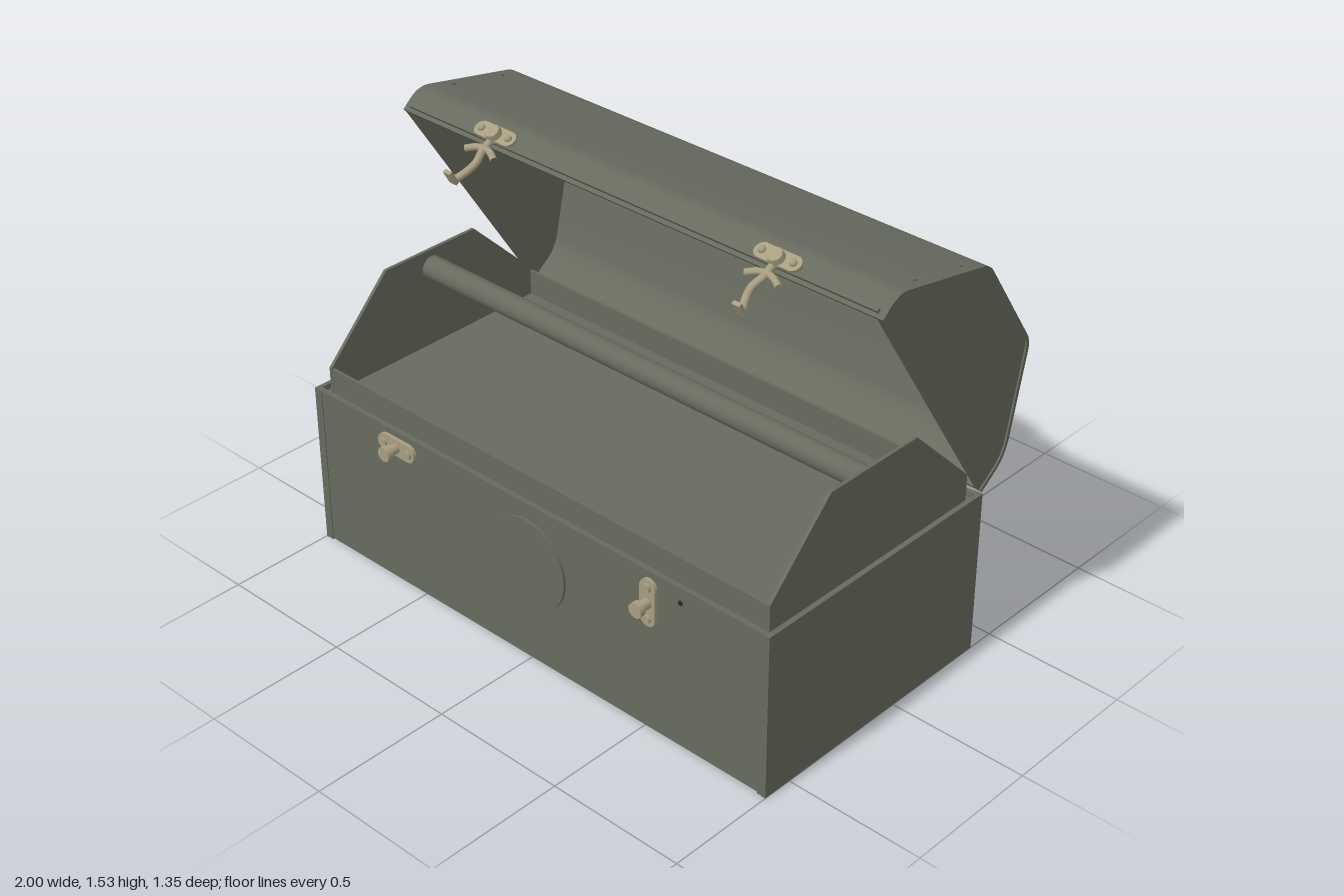
import * as THREE from 'three';
import { toCreasedNormals } from 'three/addons/utils/BufferGeometryUtils.js';

const V = (x, y, z) => new THREE.Vector3(x, y, z);

export function createModel() {
  const root = new THREE.Group();
  const green = new THREE.MeshStandardMaterial({ color: 0x676b5e, name: 'olive paint' });
  const red = new THREE.MeshStandardMaterial({ color: 0xb83a32, name: 'red grip' });
  const brass = new THREE.MeshStandardMaterial({ color: 0xa79d80, name: 'dull brass' });
  const dark = new THREE.MeshStandardMaterial({ color: 0x2c2d28, name: 'dark holes' });

  const add = (parent, name, geo, mat, x = 0, y = 0, z = 0) => {
    const m = new THREE.Mesh(geo, mat);
    m.name = name;
    m.position.set(x, y, z);
    parent.add(m);
    return m;
  };
  const group = (name, parent = root) => {
    const g = new THREE.Group();
    g.name = name;
    parent.add(g);
    return g;
  };
  // box given by its min and max corners
  const box = (parent, name, mat, x0, x1, y0, y1, z0, z1) =>
    add(parent, name, new THREE.BoxGeometry(x1 - x0, y1 - y0, z1 - z0), mat,
      (x0 + x1) / 2, (y0 + y1) / 2, (z0 + z1) / 2);
  // [z, y] outline extruded along x from x0 to x1
  const extrudeX = (pts, x0, x1) => {
    const shape = new THREE.Shape(pts.map(p => new THREE.Vector2(p[0], p[1])));
    const g = new THREE.ExtrudeGeometry(shape, { depth: x1 - x0, bevelEnabled: false });
    return toCreasedNormals(g.rotateY(-Math.PI / 2).translate(x1, 0, 0), 0.5);
  };
  const cylX = (r, len, seg = 24) => new THREE.CylinderGeometry(r, r, len, seg).rotateZ(Math.PI / 2);
  const cylZ = (r, len, seg = 24) => new THREE.CylinderGeometry(r, r, len, seg).rotateX(Math.PI / 2);
  const tube = (pts, r, n = 32) =>
    new THREE.TubeGeometry(new THREE.CatmullRomCurve3(pts), n, r, 8);

  // Lower box: four walls, raised floor, seams at the front and back corners
  const body = group('lowerBox');
  box(body, 'frontWall', green, -0.985, 0.985, 0.005, 0.6, 0.59, 0.607);
  box(body, 'backWall', green, -0.985, 0.985, 0.005, 0.6, -0.395, -0.38);
  box(body, 'bottom', green, -0.985, 0.985, 0.008, 0.022, -0.385, 0.595);
  for (const s of [-1, 1]) {
    add(body, 'sideWall', new THREE.BoxGeometry(0.016, 0.6, 1.01), green, s * 0.992, 0.3, 0.105);
    for (const z of [0.6, -0.39])
      add(body, 'cornerFlange', new THREE.BoxGeometry(0.03, 0.598, 0.02), green, s * 0.983, 0.3, z);
  }

  // Tray with shaped end plates, low walls and a carrying bar
  const tray = group('tray');
  const endOutline = [[-0.36, 0.57], [0.57, 0.57], [0.57, 0.675], [0.31, 0.94], [-0.09, 0.94], [-0.36, 0.675]];
  for (const x of [-0.965, 0.953]) add(tray, 'trayEnd', extrudeX(endOutline, x, x + 0.012), green);
  box(tray, 'trayFront', green, -0.955, 0.955, 0.57, 0.672, 0.558, 0.569);
  box(tray, 'trayBack', green, -0.955, 0.955, 0.57, 0.672, -0.359, -0.348);
  box(tray, 'trayFloor', green, -0.985, 0.985, 0.57, 0.58, -0.385, 0.595);
  add(tray, 'carryBar', cylX(0.041, 1.91, 32), green, 0, 0.874, 0.11);

  // Lid: rounded bent sheet, [z, y, bend size]
  const bends = [[0.155, 1.46, 0], [0.087, 1.521, 0.05], [-0.347, 1.437, 0.035],
    [-0.59, 1.075, 0.035], [-0.505, 0.69, 0.06], [-0.395, 0.61, 0]];
  const path = [];
  bends.forEach(([z, y, r], i) => {
    const p = new THREE.Vector2(z, y);
    if (!r) return path.push(p);
    const [a, b] = [bends[i - 1], bends[i + 1]].map(q =>
      p.clone().add(new THREE.Vector2(q[0] - z, q[1] - y).setLength(r)));
    path.push(...new THREE.QuadraticBezierCurve(a, p, b).getPoints(6));
  });
  // shift the sheet line inwards by d
  const inset = d => path.map((p, i) => {
    const t = path[Math.min(i + 1, path.length - 1)].clone().sub(path[Math.max(i - 1, 0)]).normalize();
    return [p.x - t.y * d, p.y + t.x * d];
  });
  const lid = group('lid');
  add(lid, 'lidShell', extrudeX([...inset(0), ...inset(0.013).reverse()], -1, 1), green);
  for (const x of [-0.994, 0.974]) add(lid, 'lidEnd', extrudeX(inset(0.006), x, x + 0.02), green);
  const lip = add(lid, 'lidLip', new THREE.BoxGeometry(1.95, 0.05, 0.012), green, 0, 1.462, 0.133);
  lip.rotation.x = 0.58;
  for (const s of [-1, 1]) for (const z of [-0.03, -0.25])
    add(lid, 'lidRivet', new THREE.CylinderGeometry(0.008, 0.008, 0.008, 10), green,
      s * 0.96, 1.502 + 0.194 * (z + 0.03), z);

  // Lid latches: base plate, pivot boss, side horns and a hooked arm
  for (const s of [-1, 1]) {
    const latch = group('lidLatch');
    latch.position.set(s * 0.59, 1.497, 0.13);
    latch.rotation.x = 0.53;
    add(latch, 'latchPlate', new THREE.BoxGeometry(0.13, 0.014, 0.055), brass);
    for (const e of [-1, 1]) {
      add(latch, 'plateEnd', new THREE.CylinderGeometry(0.0275, 0.0275, 0.014, 20), brass, e * 0.06, 0, 0);
      add(latch, 'latchRivet', new THREE.SphereGeometry(0.013, 12, 8), brass, e * 0.06, 0.008, 0);
    }
    add(latch, 'latchBoss', new THREE.CylinderGeometry(0.025, 0.03, 0.03, 20), brass, 0, 0.012, 0.005);
    add(latch, 'latchHorns', tube([V(-0.065, 0, 0.085), V(-0.03, 0, 0.065), V(0, 0, 0.06),
      V(0.03, 0, 0.065), V(0.065, 0, 0.085)], 0.012), brass);
    add(latch, 'latchArm', tube([V(0, 0, 0.02), V(0, 0, 0.07), V(-s * 0.012, 0, 0.12),
      V(0, 0, 0.17), V(s * 0.015, 0, 0.2)], 0.013), brass);
    add(latch, 'latchTip', new THREE.BoxGeometry(0.03, 0.055, 0.014), brass, s * 0.015, 0.018, 0.203);
  }

  // Front hasps: rounded plate with two rivets and a staple
  const hasp = (x, y, angle) => {
    const h = group('frontHasp');
    h.position.set(x, y, 0.607);
    h.rotation.z = angle;
    add(h, 'haspPlate', new THREE.BoxGeometry(0.11, 0.064, 0.014), brass, 0, 0, 0.006);
    for (const e of [-1, 1]) {
      add(h, 'haspEnd', cylZ(0.032, 0.014), brass, e * 0.054, 0, 0.006);
      add(h, 'haspRivet', cylZ(0.016, 0.012), brass, e * 0.058, 0, 0.016);
    }
    add(h, 'stapleNeck', cylZ(0.018, 0.05), brass, 0, 0, 0.03);
    add(h, 'stapleHead', cylZ(0.026, 0.022), brass, 0, 0, 0.056);
  };
  hasp(-0.593, 0.546, 0);
  hasp(0.525, 0.49, Math.PI / 2);

  // Round front plate and small hole
  add(root, 'frontDisc', cylZ(0.166, 0.009, 64), green, 0, 0.375, 0.6115);
  add(root, 'smallHole', cylZ(0.009, 0.004, 12), dark, 0.65, 0.546, 0.608);

  // Carrying handle on the lid: turned grip, bent wires and feet
  const handle = group('handle');
  const grip = [[0, -0.34], [0.034, -0.338], [0.041, -0.32], [0.041, -0.29], [0.046, -0.28],
    [0.055, -0.2], [0.057, -0.05], [0.057, 0.05], [0.055, 0.13], [0.046, 0.27], [0.041, 0.28],
    [0.041, 0.32], [0.034, 0.338], [0, 0.34]];
  const turned = pts => toCreasedNormals(new THREE.LatheGeometry(
    pts.map(p => new THREE.Vector2(p[0], p[1])), 32).rotateZ(-Math.PI / 2), 0.5);
  add(handle, 'gripCap', turned(grip.slice(0, 6)), green, 0, 1.13, -0.62);
  add(handle, 'gripSleeve', turned(grip.slice(5, 9)), red, 0, 1.13, -0.62);
  add(handle, 'gripCap', turned(grip.slice(8)), green, 0, 1.13, -0.62);
  const wire = [[0.45, -0.478], [0.415, -0.482], [0.387, -0.505], [0.385, -0.535], [0.415, -0.565],
    [0.425, -0.595], [0.395, -0.62], [0.33, -0.62]];
  for (const s of [-1, 1]) {
    add(handle, 'handleWire', tube(wire.map(([x, z]) => V(s * x, 1.13 + (z + 0.62) * 0.95, z)), 0.011, 48), brass);
    const foot = add(handle, 'handleFoot', new THREE.CapsuleGeometry(0.018, 0.04, 6, 14), green, s * 0.455, 1.265, -0.474);
    foot.rotation.z = Math.PI / 2;
  }

  // Back hinges: knuckle, lower leaf with rivets and upper leaf
  for (const s of [-1, 1]) {
    const hinge = group('hinge');
    hinge.position.set(s * 0.59, 0.6, -0.402);
    add(hinge, 'knuckle', cylX(0.013, 0.2, 16), green);
    add(hinge, 'lowerLeaf', new THREE.BoxGeometry(0.13, 0.06, 0.008), green, 0, -0.035, 0.004);
    const upper = add(hinge, 'upperLeaf', new THREE.BoxGeometry(0.13, 0.06, 0.008), green, 0, 0.024, -0.034);
    upper.rotation.x = -0.94;
    for (const e of [-1, 1])
      add(hinge, 'hingeRivet', new THREE.SphereGeometry(0.012, 10, 8), green, e * 0.04, -0.045, -0.001);
  }
  return root;
}
